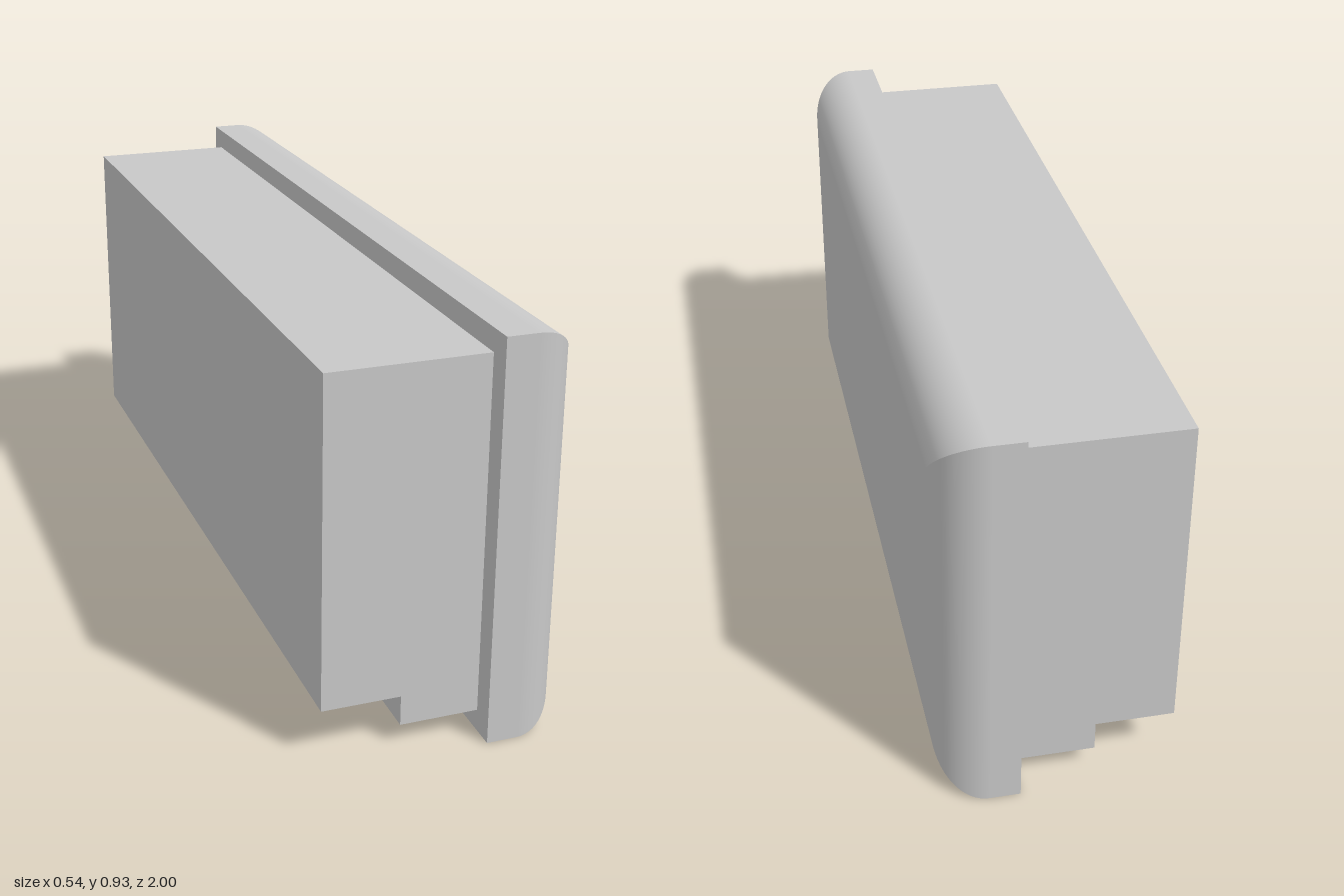
import * as THREE from 'three';

const H = 0.926, L = 2, BACK = 0.09, FRONT = 0.27, R = 0.11;

// Rounded rim of the cover: four strips swept along the edges, mitred at the corners
function rimGeometry() {
  const profile = [[0, BACK, 1, 0]]; // inset, x, outward normal, x normal
  const steps = 16;
  for (let i = 0; i <= steps; i++) {
    const a = (i / steps) * Math.PI / 2;
    profile.push([R * (1 - Math.cos(a)), FRONT - R + R * Math.sin(a), Math.cos(a), Math.sin(a)]);
  }
  const pos = [], nor = [], idx = [];
  for (const [dy, dz] of [[1, 0], [0, 1], [-1, 0], [0, -1]]) {
    const base = pos.length / 3;
    for (const [inset, x, nOut, nx] of profile) {
      const hy = H / 2 - inset, hz = L / 2 - inset;
      for (const s of [-1, 1]) {
        pos.push(x, H / 2 + (dy - s * dz) * hy, (dz + s * dy) * hz);
        nor.push(nx, dy * nOut, dz * nOut);
      }
    }
    for (let i = 0; i < profile.length - 1; i++) {
      const a = base + i * 2;
      idx.push(a, a + 1, a + 2, a + 1, a + 3, a + 2);
    }
  }
  const g = new THREE.BufferGeometry();
  g.setAttribute('position', new THREE.Float32BufferAttribute(pos, 3));
  g.setAttribute('normal', new THREE.Float32BufferAttribute(nor, 3));
  g.setIndex(idx);
  return g;
}

export function createModel() {
  const model = new THREE.Group();
  model.name = 'coveredBox';
  const grey = new THREE.MeshStandardMaterial({ color: 0xc8c8c8 });
  grey.name = 'light grey';

  const add = (parent, name, geometry) => {
    const mesh = new THREE.Mesh(geometry, grey);
    mesh.name = name;
    parent.add(mesh);
    return mesh;
  };

  // Cover plate with rounded front edges
  const cover = new THREE.Group();
  cover.name = 'coverPlate';
  model.add(cover);
  add(cover, 'coverRim', rimGeometry());
  add(cover, 'coverFace', new THREE.PlaneGeometry(L - 2 * R, H - 2 * R).rotateY(Math.PI / 2))
    .position.set(FRONT, H / 2, 0);
  add(cover, 'coverBack', new THREE.PlaneGeometry(L, H).rotateY(-Math.PI / 2))
    .position.set(BACK, H / 2, 0);

  // Housing with a stepped underside, extruded along z
  const halfZ = 0.945;
  const section = new THREE.Shape([
    [-0.27, 0.12], [-0.09, 0.12], [-0.09, 0.05], [BACK, 0.05], [BACK, 0.875], [-0.27, 0.875],
  ].map(([x, y]) => new THREE.Vector2(x, y)));
  add(model, 'housing', new THREE.ExtrudeGeometry(section, { depth: 2 * halfZ, bevelEnabled: false }))
    .position.z = -halfZ;

  // Shorter ledge beneath the housing
  add(model, 'lowerLedge', new THREE.BoxGeometry(0.18, 0.044, 1.52)).position.set(0, 0.028, 0);

  return model;
}
